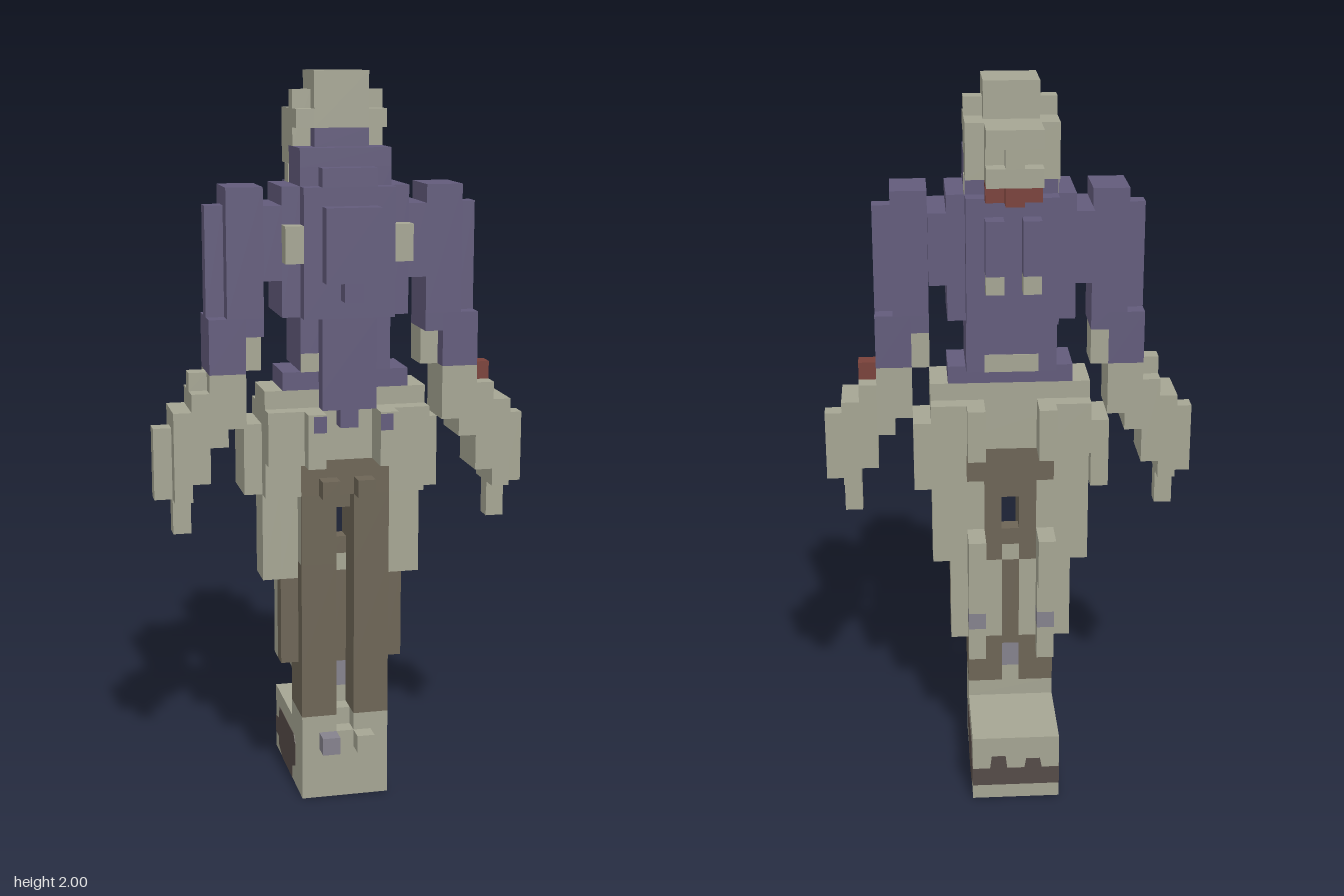
import * as THREE from 'three';

const V = 2 / 41; // edge of one block
const paint = (name, color) => Object.assign(new THREE.MeshStandardMaterial({ color }), { name });

export function createModel() {
  const model = new THREE.Group();
  const bone = paint('bone grey', 0xa5a593);
  const cloth = paint('purple cloth', 0x625b7b);
  const brown = paint('trouser brown', 0x6d6556);
  const red = paint('dark red', 0x7a413a);
  const earth = paint('dark earth', 0x554b47);
  const slate = paint('slate', 0x85828d);

  // Box from block ranges
  function box(name, mat, x0, x1, y0, y1, z0, z1) {
    const m = new THREE.Mesh(new THREE.BoxGeometry((x1 - x0) * V, (y1 - y0) * V, (z1 - z0) * V), mat);
    m.position.set((x0 + x1) / 2 * V, (y0 + y1) / 2 * V, (z0 + z1) / 2 * V);
    m.name = name;
    model.add(m);
  }
  // Mirrored pair of boxes
  function pair(name, mat, x0, x1, ...r) {
    box(name + 'Left', mat, x0, x1, ...r);
    box(name + 'Right', mat, -x1, -x0, ...r);
  }
  // Box centred on x
  const mid = (name, mat, w, ...r) => box(name, mat, -w, w, ...r);
  // Thin painted plate from an outline in blocks
  const T = 0.0015;
  function plate(name, mat, pts) {
    const shape = new THREE.Shape(pts.map(([a, b]) => new THREE.Vector2(a * V, b * V)));
    const m = new THREE.Mesh(new THREE.ExtrudeGeometry(shape, { depth: T, bevelEnabled: false }), mat);
    m.name = name;
    model.add(m);
    return m;
  }

  // Base with earth patches on the sides, back and underside
  mid('base', bone, 2.5, T / V, 4, -5, 3);
  const side = [[-5, 1], [-4, 1], [-4, .5], [-3, .1], [0, .1], [0, .8], [1, 1.2], [1, 2.6], [.6, 3],
    [-3.8, 3], [-4, 2.2], [-5, 2]];
  for (const s of [1, -1]) {
    const p = plate('basePatchSide', earth, side.map(([z, y]) => [-z, y]));
    p.rotation.y = Math.PI / 2;
    p.position.x = s > 0 ? 2.5 * V : -2.5 * V - T;
  }
  const back = plate('basePatchBack', earth, [[-2.5, .9], [2.5, .9], [2.5, 2], [1.5, 2], [1.4, 2.8], [.6, 2.8],
    [.5, 2], [-.5, 2], [-.6, 2.6], [-1.4, 2.6], [-1.5, 2], [-2.5, 2]]);
  back.position.z = -5 * V - T;
  const under = plate('basePatchUnder', earth, [[-1.6, -4.4], [1.6, -4.4], [2.5, -3], [2.5, 0], [1.6, 1.4],
    [-1.6, 1.4], [-2.5, 0], [-2.5, -3]]);
  under.rotation.x = Math.PI / 2;
  under.position.y = T;
  box('toeBlockLeft', bone, .5, 1.5, 3, 4, 3, 4);
  box('toeBlockRight', slate, -1.5, -.5, 3, 4, 3, 4);

  // Lower legs
  mid('ankles', bone, 2.5, 4, 5, 0, 2);
  pair('ankleFront', bone, .5, 2.5, 4, 5, 2, 3);
  pair('calf', brown, .5, 2.5, 5, 8, 0, 3);
  pair('shin', brown, .5, 2.5, 8, 14, 1, 3);
  pair('legOuter', brown, 2.5, 3.5, 8, 13, 1, 2);
  pair('calfBack', bone, .5, 3.5, 8, 13, 0, 1);
  mid('legWebLow', bone, .5, 5, 6, 0, 1);
  mid('legWebSlate', slate, .5, 6, 7.5, 0, 1);
  mid('legWeb', brown, .5, 7.5, 13, 0, 1);
  mid('legWebPale', bone, .5, 13, 14, 0, 1);
  mid('legWebTop', brown, .5, 14, 15, 0, 1);
  pair('calfSpur', bone, 1.5, 2.5, 7, 9, -1, 0);
  pair('calfSpurSlate', slate, 1.5, 2.5, 9, 10, -1, 0);
  pair('calfSpurTop', bone, 1.5, 2.5, 10, 12, -1, 0);
  pair('kneeBlock', bone, 1.5, 2.5, 12, 15, -2, 0);

  // Thighs, with brown painted on the front
  pair('thigh', bone, .55, 2.5, 14, 18, 1, 2.9);
  pair('thighInner', brown, .5, .55, 14, 18, 1, 2.9);
  pair('thighFront', brown, .5, 2.5, 14, 18, 2.9, 3);
  pair('thighBack', brown, .5, 1.5, 13, 18, 0, 1);
  pair('thighBackOuter', bone, 1.5, 2.5, 13, 18, 0, 1);
  pair('thighSide', bone, 2.5, 3.5, 13, 18, 0, 2);
  pair('thighOuter', bone, 3.5, 4.5, 13, 18, 0, 2);
  mid('crotch', brown, .5, 17, 18, 0, 2);

  // Hips and waist
  mid('hipsLow', brown, 2.5, 18, 20, 0, 3);
  pair('hipSide', bone, 2.5, 4.5, 18, 20, 0, 3);
  mid('hips', bone, 4.5, 20, 23, 0, 3);
  pair('hipWing', bone, 4.5, 5.5, 18, 22, -1, 2);
  pair('belt', brown, .5, 1.5, 18, 19, 3, 4);
  pair('hipFront', bone, 1.5, 4.5, 20, 23, 3, 4);
  pair('hipFrontBlock', bone, 1.5, 2.5, 20, 23, 4, 5);
  pair('hipFrontPaint', cloth, 1.5, 2.2, 22, 22.9, 5, 5.04);
  pair('hipBack', bone, 1.5, 4.5, 20, 23, -1, 0);
  pair('hipBackBlock', bone, 1.5, 2.5, 20, 23, -2, -1);
  mid('waist', bone, 4.5, 23, 24, 0, 3);
  mid('shirtTail', cloth, 1.5, 23, 24, 3, 4);
  mid('shirtTailTip', cloth, .5, 22, 23, 3, 4);

  // Torso
  mid('shirtHem', cloth, 3.5, 24, 25, 0, 3);
  mid('torso', cloth, 2.5, 25, 36, -1, 3);
  mid('bellyFront', cloth, 1.5, 24, 28, 3, 4);
  mid('chestFront', cloth, 2.5, 28, 35, 3, 4);
  mid('collarFront', cloth, 1.5, 35, 36, 3, 4);
  box('bellyPatch', bone, -2.5, -1.5, 25, 26, 3, 3.1);
  mid('lowerBackPatch', bone, 1.5, 25, 26, -1.06, -1);
  pair('neckPatch', bone, 2.5, 2.54, 35, 36, -1, 0);
  pair('ribs', cloth, 2.5, 3.5, 28, 35, -1, 3);
  pair('shoulder', cloth, 3.5, 4.5, 30, 34, -1, 3);
  pair('shoulderPatch', bone, 2.5, 3.5, 31, 33, 3, 4);
  mid('chestPanel', cloth, 1.5, 30, 34, 4, 5);
  mid('chestPanelTip', cloth, .5, 29, 30, 4, 5);
  mid('upperBack', cloth, 2.5, 28, 35, -2, -1);
  pair('backBlock', cloth, .5, 1.5, 31, 34, -3, -2);
  pair('backBlockBase', bone, .5, 1.5, 30, 31, -3, -2);

  // Arms
  pair('upperArm', cloth, 4.5, 6.5, 28, 35, 0, 3);
  pair('armRidge', cloth, 6.5, 7.5, 28, 34, 1, 2);
  pair('sleeve', cloth, 5.5, 7.5, 25, 28, 0, 3);
  pair('sleeveInner', cloth, 4.5, 5.5, 27, 28, 0, 3);
  pair('elbow', bone, 4.5, 5.5, 25, 27, 0, 2);
  pair('forearm', bone, 5.5, 6.5, 22, 25, 0, 3);
  pair('wrist', bone, 6.5, 7.5, 21, 25, 0, 3);
  pair('palm', bone, 7.5, 8.5, 19, 24, 0, 3);
  pair('hand', bone, 8.5, 9.5, 18, 23, 0, 3);
  pair('finger', bone, 8.5, 9.5, 16, 18, 1, 2);
  pair('knuckle', bone, 9.5, 10.5, 18, 22, 1, 2);
  box('wristBlockLeft', red, 7.5, 8.5, 24, 25, 1, 2);
  box('wristBlockRight', bone, -8.5, -7.5, 24, 25, 1, 2);

  // Neck and head
  mid('collar', cloth, 2.5, 36, 37, 0, 3);
  mid('neck', cloth, 1.5, 37, 38, 0, 2);
  mid('head', bone, 1.5, 38, 41, -1, 2);
  pair('ear', bone, 1.5, 2.5, 37, 40, 0, 1);
  pair('temple', bone, 1.5, 2.5, 38, 39, 1, 2);
  mid('cheeks', bone, 2.5, 36, 39, -2, 0);
  mid('jaw', bone, 1.5, 36, 37, -4, -2);
  mid('eyeBand', bone, 1.5, 37, 38, -3, -2);
  mid('nose', bone, .5, 37, 38, -4, -3);
  mid('brow', bone, 1.5, 38, 39, -4, -2);
  mid('mouth', red, 1.5, 35, 36, -3, -2);
  mid('chin', red, .5, 35, 36, -4, -3);

  return model;
}
